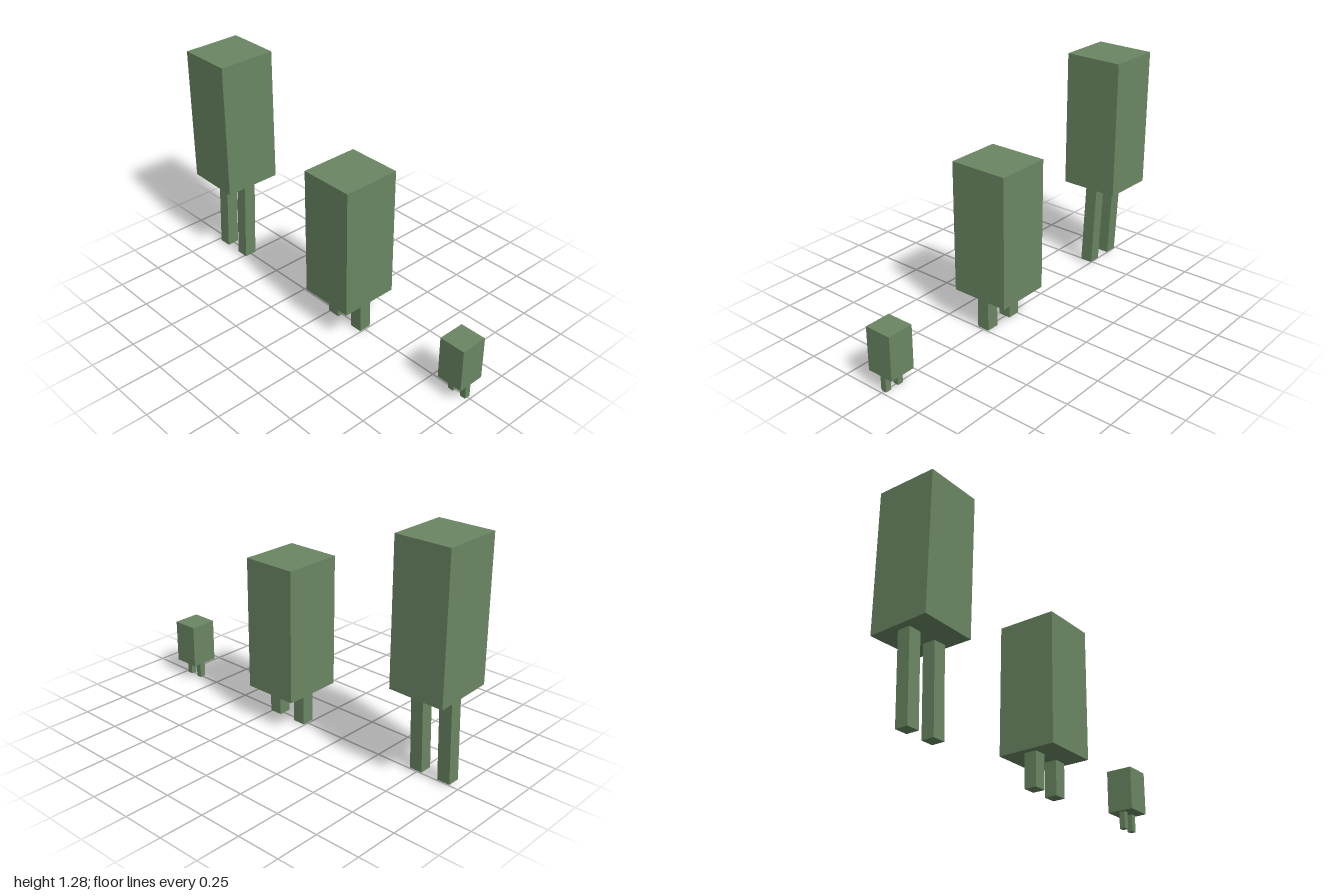
import * as THREE from 'three';

const material = new THREE.MeshStandardMaterial({ color: 0x6b8763, flatShading: true });

// Box given by its limits on each axis
function block(name, [x0, x1], [y0, y1], [z0, z1]) {
  const geometry = new THREE.BoxGeometry(x1 - x0, y1 - y0, z1 - z0);
  geometry.translate((x0 + x1) / 2, (y0 + y1) / 2, (z0 + z1) / 2);
  const mesh = new THREE.Mesh(geometry, material);
  mesh.name = name;
  return mesh;
}

// Move the vertices below a height by a rule
function bendBelow(mesh, height, rule) {
  const p = mesh.geometry.attributes.position;
  const v = new THREE.Vector3();
  for (let i = 0; i < p.count; i++) {
    v.fromBufferAttribute(p, i);
    if (v.y < height) {
      rule(v);
      p.setXYZ(i, v.x, v.y, v.z);
    }
  }
  mesh.geometry.computeVertexNormals();
}

const figures = [
  { name: 'tallFigure', x: [-1, -0.688], y: [0.506, 1.285], z: [-0.17, 0.168],
    legs: [[-0.96, -0.887], [-0.79, -0.718]], foot: 0.017, legZ: [-0.036, 0.036], lean: 0.02 },
  { name: 'middleFigure', x: [-0.036, 0.278], y: [0.198, 0.94], z: [-0.17, 0.168],
    legs: [[0, 0.074], [0.176, 0.25]], foot: 0.006, legZ: [-0.036, 0.036], lean: 0 },
  { name: 'smallFigure', x: [0.85, 1], y: [0.098, 0.345], z: [-0.076, 0.08],
    legs: [[0.87, 0.903], [0.95, 0.984]], foot: 0, legZ: [-0.016, 0.018], lean: 0 },
];

export function createModel() {
  const model = new THREE.Group();
  model.name = 'blockFigures';
  for (const f of figures) {
    const group = new THREE.Group();
    group.name = f.name;

    // Body, with a slightly warped underside on the tall one
    const body = block('body', f.x, f.y, f.z);
    if (f.lean) {
      bendBelow(body, 0.8, (v) => { if (v.x < -0.9) v.y += 0.006 * Math.sign(v.z); });
    }
    group.add(body);

    // Legs, with the feet set forward where they lean
    f.legs.forEach((x, i) => {
      const leg = block(i ? 'leftLeg' : 'rightLeg', x, [f.foot, f.y[0]], f.legZ);
      if (f.lean) bendBelow(leg, 0.2, (v) => { v.z += f.lean; });
      group.add(leg);
    });
    model.add(group);
  }
  return model;
}
